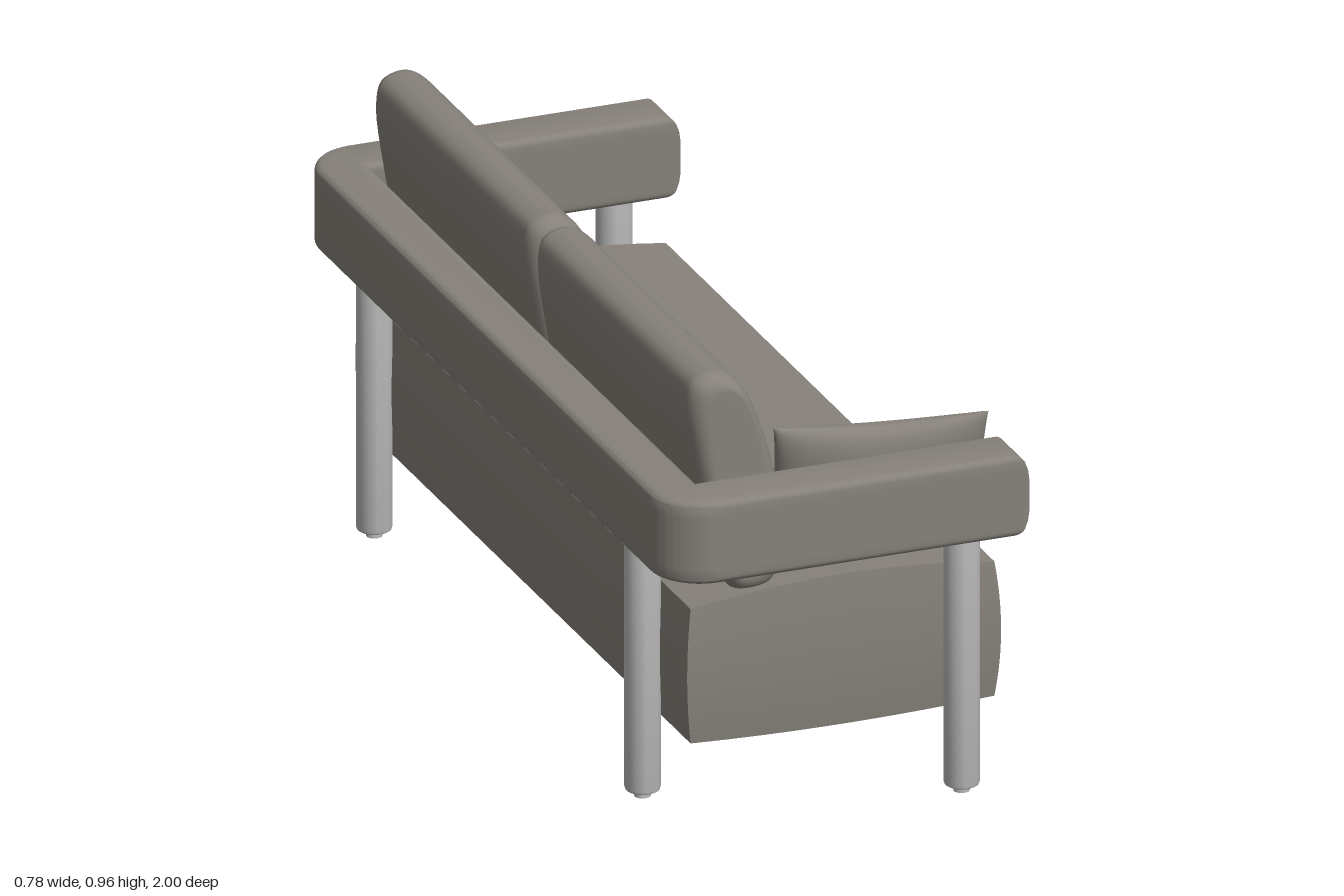
import * as THREE from 'three';
import { mergeVertices, toCreasedNormals } from 'three/addons/utils/BufferGeometryUtils.js';
import { ParametricGeometry } from 'three/addons/geometries/ParametricGeometry.js';

const fabric = new THREE.MeshStandardMaterial({ color: 0x86817a });
fabric.name = 'warm grey fabric';
const metal = new THREE.MeshStandardMaterial({ color: 0xbcbcbc });
metal.name = 'pale metal';

function addMesh(parent, name, geometry, material) {
  const mesh = new THREE.Mesh(geometry, material);
  mesh.name = name;
  parent.add(mesh);
  return mesh;
}

// Move every vertex by a rule
function warp(geometry, rule) {
  const pos = geometry.attributes.position;
  const p = new THREE.Vector3();
  for (let i = 0; i < pos.count; i++) {
    rule(p.fromBufferAttribute(pos, i));
    pos.setXYZ(i, p.x, p.y, p.z);
  }
  geometry.computeVertexNormals();
  return geometry;
}

// Padded block with bulging faces and crisp seams
function seatGeometry() {
  const hx = 0.33, hy = 0.147, hz = 0.885;
  const g = new THREE.BoxGeometry(2 * hx, 2 * hy, 2 * hz, 16, 12, 16);
  warp(g, (p) => {
    const u = p.x / hx, v = p.y / hy, w = p.z / hz;
    p.x += 0.011 * u * (1 - v * v);
    p.y += (v > 0 ? 0.025 : 0.009) * v * (1 - u * u);
    p.z += 0.009 * w * (1 - v * v);
  });
  return g.translate(0.03, 0.318, 0);
}

// U-shaped rail: two arms joined behind the back cushions
function railGeometry() {
  const back = -0.393, front = 0.39, inner = -0.285, r = 0.11, bevel = 0.016;
  const s = new THREE.Shape();
  s.moveTo(front, -1);
  s.lineTo(front, -0.88);
  s.lineTo(inner, -0.88);
  s.lineTo(inner, 0.88);
  s.lineTo(front, 0.88);
  s.lineTo(front, 1);
  s.lineTo(back + r, 1);
  s.absarc(back + r, 1 - r, r, Math.PI / 2, Math.PI, false);
  s.lineTo(back, -1 + r);
  s.absarc(back + r, -1 + r, r, Math.PI, Math.PI * 1.5, false);
  s.closePath();
  const g = new THREE.ExtrudeGeometry(s, {
    depth: 0.18 - 2 * bevel, steps: 8, curveSegments: 12,
    bevelThickness: bevel, bevelSize: bevel, bevelOffset: -bevel, bevelSegments: 5,
  });
  g.rotateX(-Math.PI / 2).translate(0, 0.561 + bevel, 0);
  // rounded arm fronts
  warp(g, (p) => {
    if (p.x > 0.3) p.x -= 0.022 * Math.pow(Math.abs(p.y - 0.651) / 0.09, 4);
  });
  return toCreasedNormals(g, 0.6);
}

// Leaning back cushion: side profile lofted along z with rounded ends
function backCushionGeometry(z0, z1) {
  const profile = new THREE.CatmullRomCurve3([
    [-0.12, 0.475], [-0.088, 0.515], [-0.081, 0.58], [-0.1, 0.72], [-0.14, 0.855], [-0.178, 0.928],
    [-0.223, 0.956], [-0.275, 0.942], [-0.289, 0.895], [-0.274, 0.76], [-0.232, 0.565], [-0.19, 0.475],
  ].map(([x, y]) => new THREE.Vector3(x, y, 0)), true);
  const cx = -0.18, cy = 0.72, rz = 0.045, inset = 0.036, arc = 7, stacks = 2 * (arc + 2) + 1;
  const g = new ParametricGeometry((u, v, target) => {
    const k = Math.round(v * stacks);
    const near = k <= arc + 2;
    const step = near ? k : stacks - k;
    const a = Math.max(0, step - 2) / arc * Math.PI / 2;
    const d = inset * (1 - Math.sin(a));
    const fill = step === 0 ? 0 : step === 1 ? 0.8 : 1;
    const dz = rz * (1 - Math.cos(a));
    const p = profile.getPoint(u % 1);
    target.set(
      cx + (p.x - cx) * (1 - d / 0.1) * fill,
      cy + (p.y - cy) * (1 - d / 0.236) * fill,
      near ? z0 + dz : z1 - dz,
    );
  }, 56, stacks);
  g.deleteAttribute('uv');
  g.deleteAttribute('normal');
  const merged = mergeVertices(g, 1e-5);
  merged.computeVertexNormals();
  return merged;
}

// One face of the throw pillow, pinched towards its corners
function pillowFace() {
  return warp(new THREE.PlaneGeometry(2, 2, 24, 24), (p) => {
    const u = Math.sin(p.x * Math.PI / 2), v = Math.sin(p.y * Math.PI / 2);
    const puff = Math.max(0, (1 - u * u) * (1 - v * v));
    p.x = 0.228 * u * (1 - 0.07 * (1 - v * v)) * (1 - 0.03 * u * u * v * v);
    p.y = 0.158 * v * (1 - 0.09 * (1 - u * u));
    p.z = 0.056 * Math.pow(puff, 0.42);
  });
}

// Round leg with a softened lower edge and a small foot
function makeLeg(name, x, z) {
  const leg = new THREE.Group();
  leg.name = name;
  const profile = [[0, 0.013], [0.03, 0.013], [0.035, 0.016], [0.037, 0.022], [0.037, 0.575]]
    .map(([r, y]) => new THREE.Vector2(r, y));
  addMesh(leg, 'legPost', toCreasedNormals(new THREE.LatheGeometry(profile, 32), 0.7), metal);
  addMesh(leg, 'legFoot', new THREE.CylinderGeometry(0.017, 0.017, 0.016, 24).translate(0, 0.008, 0), metal);
  leg.position.set(x, 0, z);
  return leg;
}

export function createModel() {
  const sofa = new THREE.Group();
  sofa.name = 'sofa';

  addMesh(sofa, 'seat', seatGeometry(), fabric);
  addMesh(sofa, 'armAndBackRail', railGeometry(), fabric);
  addMesh(sofa, 'leftBackCushion', backCushionGeometry(0, 0.872), fabric);
  addMesh(sofa, 'rightBackCushion', backCushionGeometry(-0.872, 0), fabric);

  // Throw pillow leaning on one arm
  const pillow = new THREE.Group();
  pillow.name = 'throwPillow';
  addMesh(pillow, 'pillowFront', pillowFace(), fabric);
  addMesh(pillow, 'pillowBack', pillowFace(), fabric).rotation.y = Math.PI;
  pillow.rotation.set(0.26, -0.18, 0, 'YXZ');
  pillow.position.set(0.143, 0.637, 0.79);
  sofa.add(pillow);

  // Front legs under the arms, rear legs under the back rail
  for (const [side, sign] of [['Left', 1], ['Right', -1]]) {
    sofa.add(makeLeg(`front${side}Leg`, 0.268, sign * 0.937));
    sofa.add(makeLeg(`rear${side}Leg`, -0.339, sign * 0.723));
  }
  return sofa;
}
